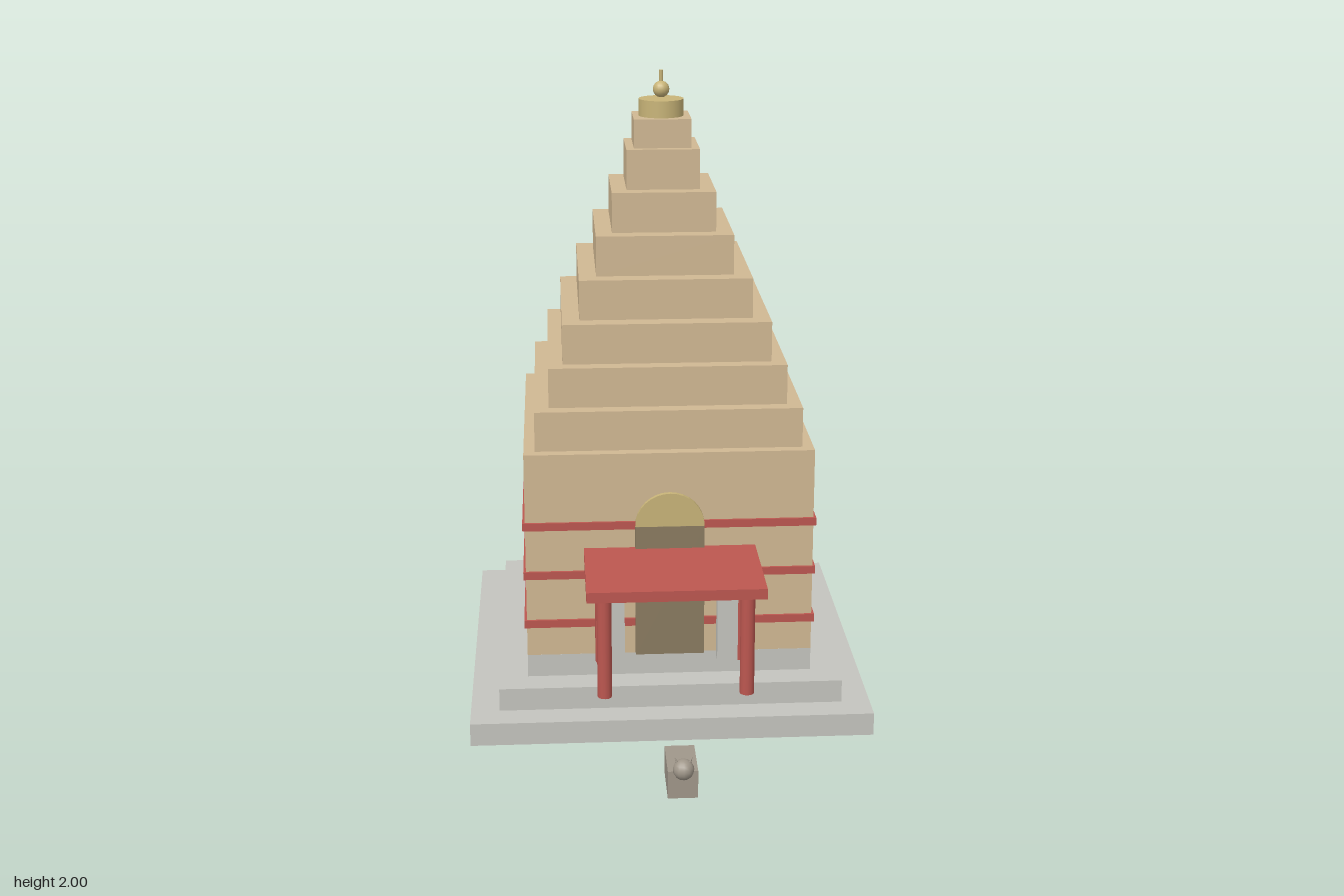
import * as THREE from 'three';

const material = (color) => new THREE.MeshStandardMaterial({ color });

export function createModel() {
  const model = new THREE.Group();
  model.name = 'temple';
  const stone = material(0xc4c4be), tan = material(0xd0b893), red = material(0xbc5750);
  const gold = material(0xc8b478), wood = material(0x8a7b60), grey = material(0xa0978a);
  const cz = -0.245; // centre of the tower

  const add = (name, geometry, mat, x, y, z) => {
    const mesh = new THREE.Mesh(geometry, mat);
    mesh.name = name;
    mesh.position.set(x, y, z);
    model.add(mesh);
    return mesh;
  };
  // Box given by bottom and top heights
  const block = (name, mat, w, y0, y1, d, x, z) =>
    add(name, new THREE.BoxGeometry(w, y1 - y0, d), mat, x, (y0 + y1) / 2, z);
  const square = (name, mat, half, y0, y1) => block(name, mat, half * 2, y0, y1, half * 2, 0, cz);

  // Stepped plinth
  [0.63, 0.54, 0.45].forEach((half, i) => square('plinthStep', stone, half, i * 0.0733, (i + 1) * 0.0733));

  // Sanctum walls with red bands
  square('sanctumWalls', tan, 0.45, 0.22, 0.886);
  for (const y of [0.328, 0.491, 0.653]) square('wallBand', red, 0.458, y - 0.0125, y + 0.0125);

  // Stepped tower
  const tiers = [0.415, 0.37, 0.325, 0.27, 0.215, 0.163, 0.115, 0.09];
  tiers.forEach((half, i) => {
    const y = 0.886 + i * 0.126;
    square('towerTier', tan, half, y, Math.min(y + 0.126, 1.858));
  });

  // Crown disc, finial ball and spike
  add('crownDisc', new THREE.CylinderGeometry(0.071, 0.071, 0.054, 24), gold, 0, 1.884, cz);
  add('finialBall', new THREE.SphereGeometry(0.026, 16, 12), gold, 0, 1.94, cz);
  add('finialSpike', new THREE.CylinderGeometry(0.006, 0.006, 0.06, 8), gold, 0, 1.97, cz);

  // Doorway with an arched top
  block('door', wood, 0.216, 0.22, 0.65, 0.02, 0, 0.211);
  const arch = new THREE.Shape();
  arch.absarc(0, 0, 0.108, 0, Math.PI, false);
  add('doorArch', new THREE.ExtrudeGeometry(arch, { depth: 0.018, bevelEnabled: false, curveSegments: 8 }),
    gold, 0, 0.65, 0.202);

  // Porch roof, pillars and the guardians beside the door
  block('porchRoof', red, 0.536, 0.545, 0.578, 0.36, 0, 0.385);
  for (const side of [-1, 1]) {
    for (const z of [0.26, 0.513]) {
      add('porchPillar', new THREE.CylinderGeometry(0.022, 0.022, 0.325, 12), red, side * 0.215, 0.3825, z);
    }
    block('guardianBody', stone, 0.07, 0.22, 0.488, 0.045, side * 0.18, 0.258);
    add('guardianHead', new THREE.SphereGeometry(0.022, 12, 10), stone, side * 0.18, 0.51, 0.258);
  }

  // Resting bull facing away from the door
  block('bullBody', grey, 0.088, 0.042, 0.128, 0.16, 0, 0.748);
  add('bullHead', new THREE.SphereGeometry(0.031, 12, 10), grey, 0, 0.144, 0.846);
  for (const side of [-1, 1]) {
    const horn = add('bullHorn', new THREE.ConeGeometry(0.006, 0.026, 8), grey, side * 0.021, 0.172, 0.846);
    horn.rotation.z = -side * 0.4;
  }
  return model;
}
